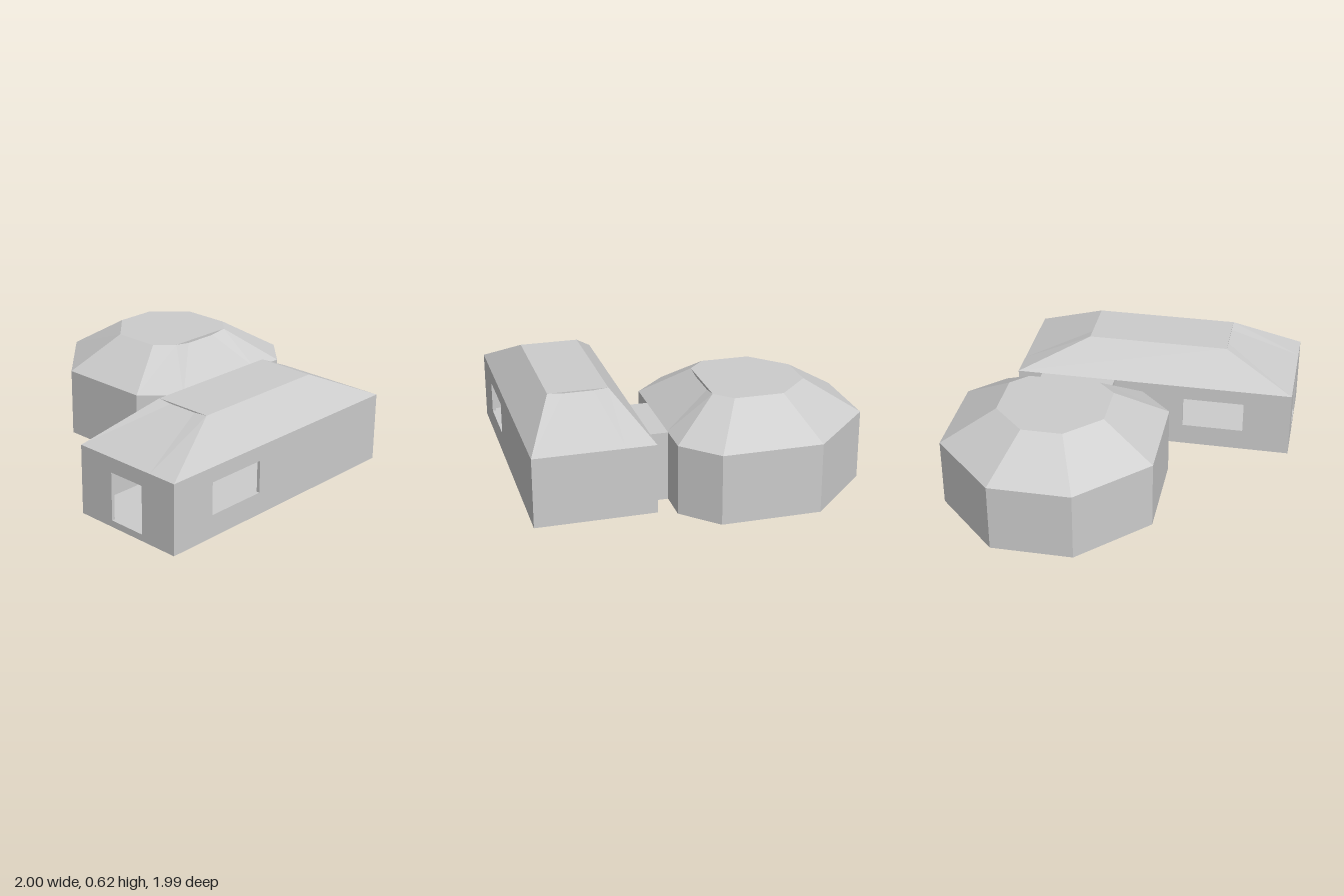
import * as THREE from 'three';

const EAVE = 0.42, RIDGE = 0.62, WALL = 0.02, FLOOR = 0.04;
const mat = new THREE.MeshStandardMaterial({ color: 0xcccccc, flatShading: true });
const roofMat = mat.clone();
roofMat.side = THREE.DoubleSide;

// Flat-shaded mesh from convex polygons, corners counter-clockwise from outside
function polyMesh(name, polys, material = mat) {
  const pos = [];
  for (const p of polys)
    for (let i = 1; i < p.length - 1; i++) pos.push(...p[0], ...p[i], ...p[i + 1]);
  const g = new THREE.BufferGeometry();
  g.setAttribute('position', new THREE.Float32BufferAttribute(pos, 3));
  g.computeVertexNormals();
  const m = new THREE.Mesh(g, material);
  m.name = name;
  return m;
}

const at = (ring, y) => ring.map(([x, z]) => [x, y, z]);
const mix = (a, b, t) => a.map((v, i) => v + (b[i] - v) * t);

// Truncated hip roof; the slopes listed in sunk have a middle panel dipping at its top edge
function hipRoof(name, outer, inner, sunk, drop) {
  const b = at(outer, EAVE), t = at(inner, RIDGE), polys = [t];
  b.forEach((b0, i) => {
    const j = (i + 1) % b.length, b1 = b[j], t0 = t[i], t1 = t[j];
    if (!sunk.includes(i)) return polys.push([b0, b1, t1, t0]);
    const q0 = mix(b0, b1, 0.25), q1 = mix(b0, b1, 0.75);
    const i0 = mix(t0, t1, 0.25), i1 = mix(t0, t1, 0.75);
    i0[1] -= drop;
    i1[1] -= drop;
    polys.push([b0, q0, i0, t0], [q0, q1, i1, i0], [q1, b1, t1, i1], [i0, i1, t1, t0]);
  });
  return polyMesh(name, polys, roofMat);
}

// Upright wall panel in the xy plane with an optional opening [x0, y0, x1, y1]
function wall(name, width, opening) {
  const rect = (T, x0, y0, x1, y1) => {
    const s = new T();
    s.moveTo(x0, y0).lineTo(x1, y0).lineTo(x1, y1).lineTo(x0, y1).closePath();
    return s;
  };
  const s = rect(THREE.Shape, 0, 0, width, EAVE);
  if (opening) s.holes.push(rect(THREE.Path, ...opening));
  const m = new THREE.Mesh(new THREE.ExtrudeGeometry(s, { depth: WALL, bevelEnabled: false }), mat);
  m.name = name;
  return m;
}

function box(name, x0, x1, y0, y1, z0, z1) {
  const m = new THREE.Mesh(new THREE.BoxGeometry(x1 - x0, y1 - y0, z1 - z0), mat);
  m.position.set((x0 + x1) / 2, (y0 + y1) / 2, (z0 + z1) / 2);
  m.name = name;
  return m;
}

// Eight-sided building
function roundHouse() {
  const outer = [[-0.61, 0.27], [-0.02, 0.27], [0.18, 0.07], [0.18, -0.8],
    [-0.02, -1], [-0.61, -1], [-1, -0.61], [-1, -0.12]];
  const inner = [[-0.485, -0.04], [-0.19, -0.04], [-0.09, -0.145], [-0.09, -0.58],
    [-0.19, -0.68], [-0.485, -0.68], [-0.68, -0.485], [-0.68, -0.24]];
  const lo = at(outer, 0), hi = at(outer, EAVE);
  const sides = lo.map((p, i) => {
    const j = (i + 1) % lo.length;
    return [p, lo[j], hi[j], hi[i]];
  });
  const g = new THREE.Group();
  g.name = 'octagonalBuilding';
  g.add(polyMesh('octagonalWalls', [...sides, [...lo].reverse()]));
  g.add(hipRoof('octagonalRoof', outer, inner, [2], 0.015));
  return g;
}

// Long hollow building with a doorway and two facing windows
function longHouse() {
  const x0 = 0.285, x1 = 1, z0 = -0.755, z1 = 0.99, len = z1 - z0;
  const g = new THREE.Group();
  g.name = 'longBuilding';

  const front = wall('frontWall', x1 - x0, [0.525 - x0, FLOOR, 0.76 - x0, 0.33]);
  front.position.set(x0, 0, z1 - WALL);
  const back = wall('backWall', x1 - x0);
  back.position.set(x0, 0, z0);
  g.add(front, back);

  for (const [name, x] of [['leftWall', x1 - WALL], ['rightWall', x0]]) {
    const side = wall(name, len, [z1 - 0.695, 0.135, z1 - 0.31, 0.33]);
    side.rotation.y = Math.PI / 2; // runs from front to back
    side.position.set(x, 0, z1);
    g.add(side);
  }
  g.add(box('floor', x0 + WALL, x1 - WALL, 0, FLOOR, z0 + WALL, z1 - WALL));

  const outer = [[x0, z1], [x1, z1], [x1, z0], [x0, z0]];
  const inner = [[0.46, 0.555], [0.82, 0.555], [0.82, -0.32], [0.46, -0.32]];
  g.add(hipRoof('longRoof', outer, inner, [0, 2], 0.008));
  return g;
}

export function createModel() {
  const model = new THREE.Group();
  model.name = 'twinBuildings';
  model.add(roundHouse(), longHouse());
  // Link between the two buildings
  model.add(box('connectingPassage', 0.18, 0.285, 0, EAVE, -0.6, -0.13));
  return model;
}
